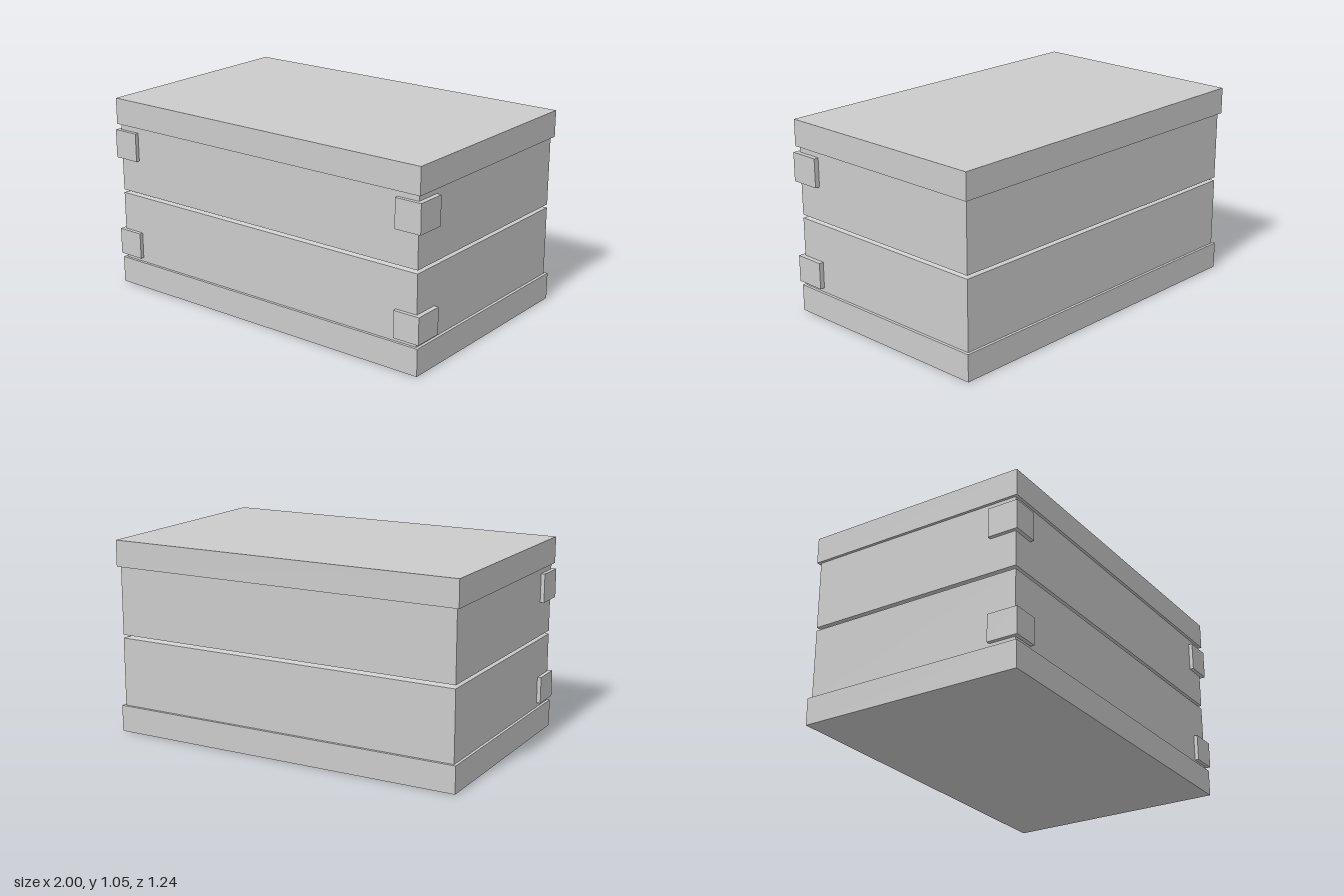
import * as THREE from 'three';

const material = new THREE.MeshStandardMaterial({ color: 0xcccccc, flatShading: true });

export function createModel() {
  const group = new THREE.Group();

  // Box given by its min and max corners
  const block = (name, [x0, y0, z0], [x1, y1, z1]) => {
    const geo = new THREE.BoxGeometry(x1 - x0, y1 - y0, z1 - z0);
    geo.translate((x0 + x1) / 2, (y0 + y1) / 2, (z0 + z1) / 2);
    const mesh = new THREE.Mesh(geo, material);
    mesh.name = name;
    group.add(mesh);
    return mesh;
  };

  // Pulls the vertices at one height inwards to slope the sides
  const taper = (mesh, y, inset) => {
    const p = mesh.geometry.attributes.position;
    for (let i = 0; i < p.count; i++) {
      if (Math.abs(p.getY(i) - y) > 1e-4) continue;
      p.setX(i, p.getX(i) - Math.sign(p.getX(i)) * inset);
      p.setZ(i, p.getZ(i) - Math.sign(p.getZ(i)) * inset);
    }
    mesh.geometry.computeVertexNormals();
  };

  // Base and lid slabs
  block('base', [-0.994, 0, -0.618], [0.99, 0.145, 0.615]);
  block('lid', [-0.994, 0.912, -0.618], [0.99, 1.055, 0.615]);

  // Two body halves
  const x0 = -0.979, x1 = 0.974, z0 = -0.603, z1 = 0.6;
  block('lowerBody', [x0, 0.145, z0], [x1, 0.521, z1]);
  block('upperBody', [x0, 0.539, z0], [x1, 0.912, z1]);

  // V-shaped groove between the halves
  taper(block('grooveLower', [x0, 0.521, z0], [x1, 0.531, z1]), 0.531, 0.035);
  taper(block('grooveUpper', [x0, 0.531, z0], [x1, 0.539, z1]), 0.531, 0.035);

  // Corner brackets on the front edges
  for (const [y0, y1] of [[0.168, 0.312], [0.724, 0.88]]) {
    block('leftBracket', [0.852, y0, 0.455], [1, y1, 0.621]);
    block('rightBracket', [-1, y0, 0.455], [-0.852, y1, 0.621]);
  }
  return group;
}
